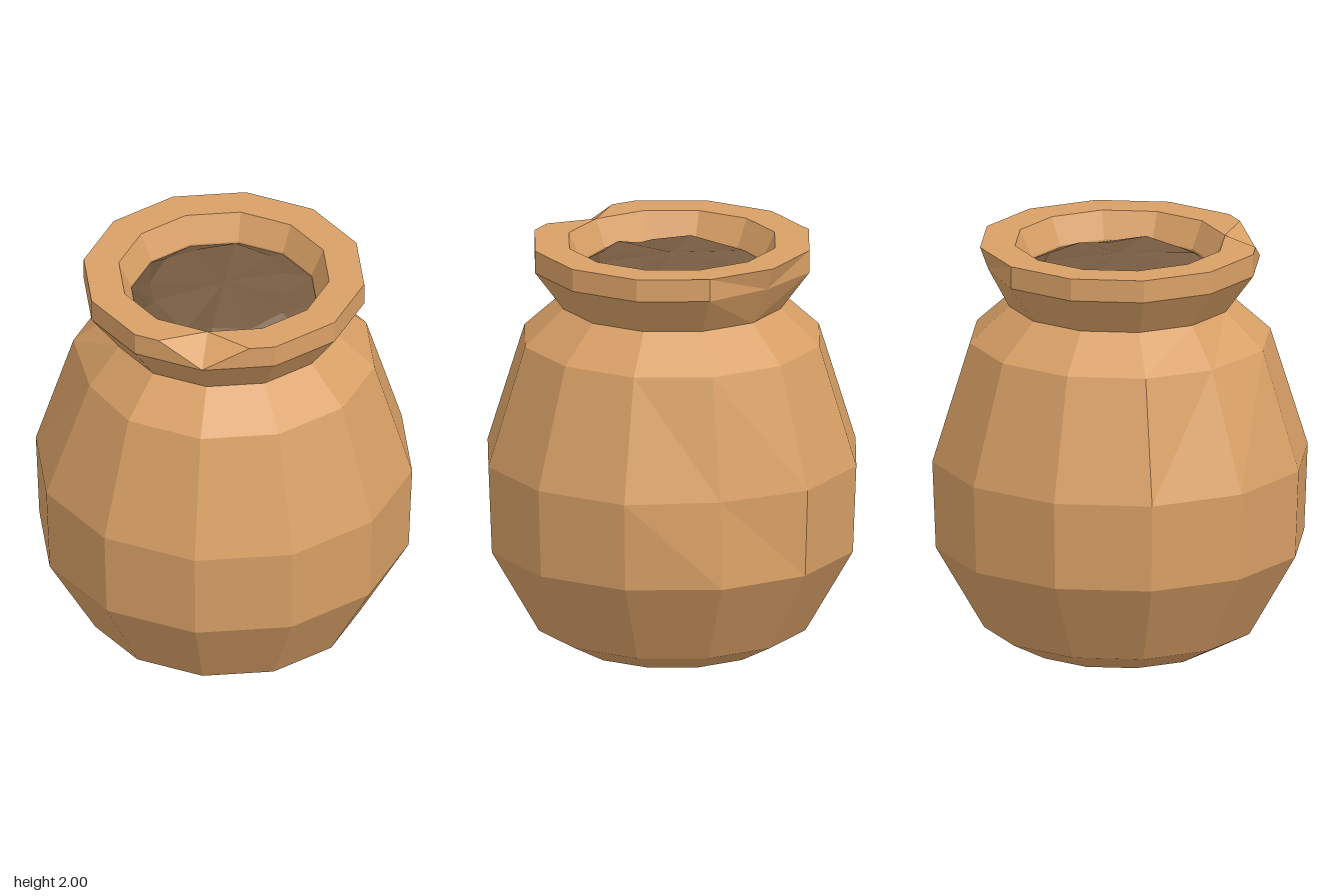
import * as THREE from 'three';

// Twelve-sided columns, plus two extra beside the front one where the rim is chipped
const COLUMNS = [0, 0.65, 1, 2, 3, 4, 5, 6, 7, 8, 9, 10, 11, 11.35];

// Point on the flat-sided ring of radius r; k counts corners from the front towards +x
function ringPoint(r, y, k) {
  const a = Math.floor(k), t = k - a, step = Math.PI / 6;
  const lerp = (f) => f(a * step) * (1 - t) + f((a + 1) * step) * t;
  return [r * lerp(Math.sin), y, r * lerp(Math.cos)];
}

// Faceted turned shape; dent(i, k) may return a replacement [radius, y]
function turned(profile, dent = () => null) {
  const pos = [], index = [], n = profile.length, m = COLUMNS.length;
  for (const k of COLUMNS) {
    profile.forEach((p, i) => {
      const [r, y] = dent(i, k) || p;
      pos.push(...ringPoint(r, y, k));
    });
  }
  for (let j = 0; j < m; j++) {
    for (let i = 0; i < n - 1; i++) {
      const a = j * n + i, b = ((j + 1) % m) * n + i, c = b + 1, d = a + 1;
      // Mirror the diagonals on the two halves
      if (COLUMNS[j] < 6) index.push(a, b, d, b, c, d);
      else index.push(a, b, c, a, c, d);
    }
  }
  const geo = new THREE.BufferGeometry();
  geo.setAttribute('position', new THREE.Float32BufferAttribute(pos, 3));
  geo.setIndex(index);
  const flat = geo.toNonIndexed();
  flat.computeVertexNormals();
  return flat;
}

export function createModel() {
  const clay = new THREE.MeshStandardMaterial({ color: 0xd9a066, flatShading: true });
  clay.name = 'clay';
  const dark = new THREE.MeshStandardMaterial({ color: 0x765b40, flatShading: true });
  dark.name = 'dark contents';

  const group = new THREE.Group();
  group.name = 'pot';

  // Body, neck, rim and inner lip in one wall
  const wall = [
    [0, 0], [0.47, 0], [0.66, 0.1], [0.895, 0.51], [0.912, 0.94], [0.73, 1.525],
    [0.54, 1.7], [0.68, 1.89], [0.68, 2], [0.51, 2], [0.45, 1.87], [0.45, 1.75],
  ];
  const dents = {
    '8,0': [0.68, 1.891],  // chip in the front of the rim
    '7,6': [0.64, 1.89],   // knock under the back of the rim
    '4,5': [0.87, 0.94],   // flattened spot on the belly
    '5,10': [0.69, 1.51],  // worn shoulder
  };
  const pot = new THREE.Mesh(turned(wall, (i, k) => dents[`${i},${k}`]), clay);
  pot.name = 'potWall';
  group.add(pot);

  // Shallow uneven mound filling the mouth
  const mound = [[0.45, 1.86], [0.36, 1.92], [0, 1.94]];
  const fill = new THREE.Mesh(
    turned(mound, (i, k) => (i === 1 ? [0.36 - 0.06 * (k === 3 || k === 4), 1.92 - 0.02 * (k % 2)] : null)),
    dark,
  );
  fill.name = 'contents';
  group.add(fill);

  return group;
}
